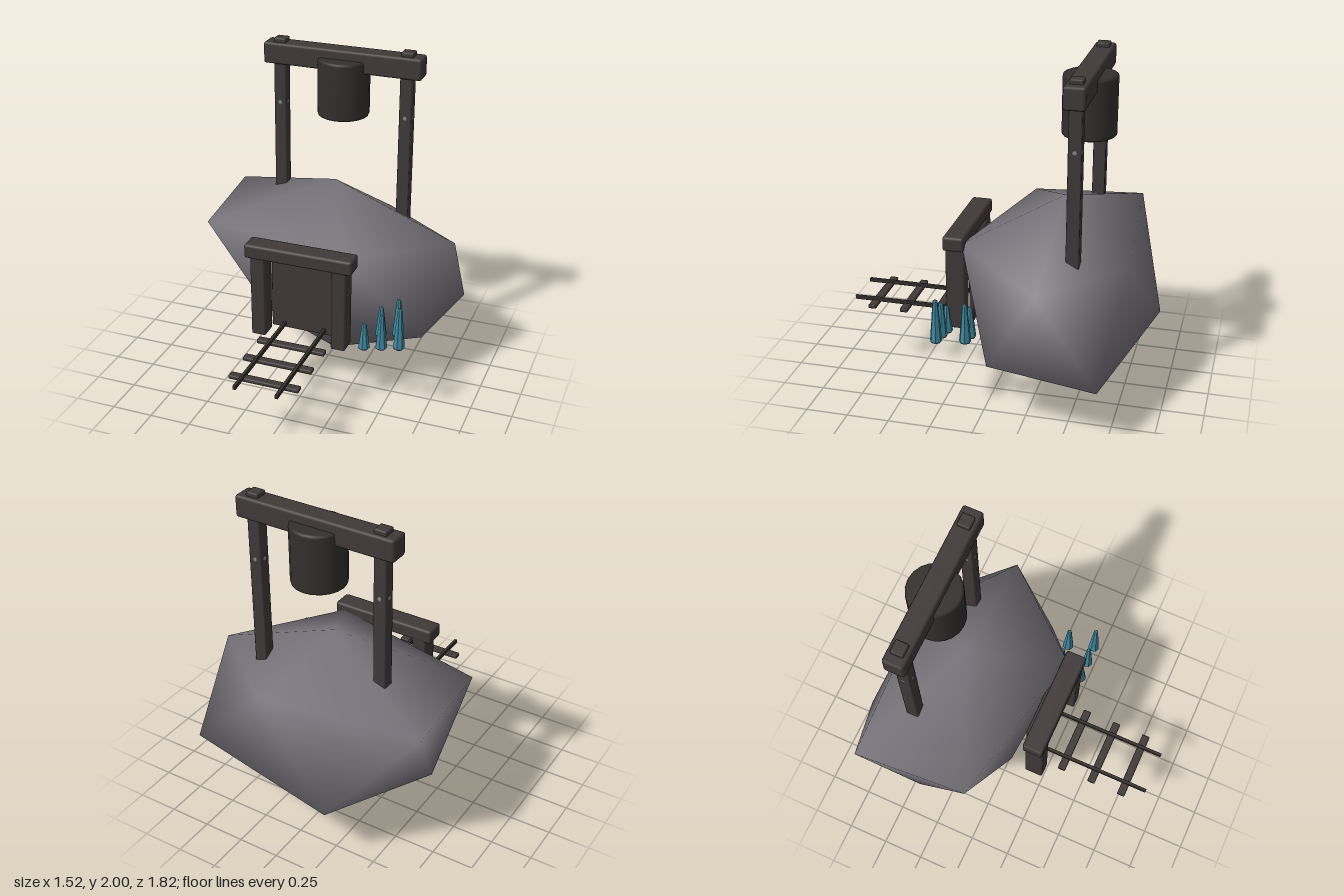
import * as THREE from 'three';
import { RoundedBoxGeometry } from 'three/addons/geometries/RoundedBoxGeometry.js';

const material = (name, color, extra = {}) => {
  const m = new THREE.MeshStandardMaterial({ color, ...extra });
  m.name = name;
  return m;
};

// Angular boulder: bottom point, two staggered rings of five corners, top point
function boulderGeometry() {
  const points = [
    [0, 0, -0.36],
    [0.66, 0.385, -0.06], [-0.28, 0.46, 0.07], [-0.66, 0.45, -0.38], [-0.28, 0.37, -0.91], [0.76, 0.36, -0.7],
    [0.28, 0.94, 0.185], [-0.71, 0.93, -0.03], [-0.76, 0.945, -0.71], [0.23, 0.87, -0.775], [0.76, 0.89, -0.36],
    [0, 1.19, -0.36],
  ];
  const index = [];
  for (let i = 0; i < 5; i++) {
    const j = (i + 1) % 5;
    index.push(0, 1 + i, 1 + j);
    index.push(1 + j, 1 + i, 6 + i);
    index.push(1 + j, 6 + i, 6 + j);
    index.push(6 + j, 6 + i, 11);
  }
  const geometry = new THREE.BufferGeometry();
  geometry.setAttribute('position', new THREE.Float32BufferAttribute(points.flat(), 3));
  geometry.setIndex(index);
  geometry.computeVertexNormals();
  return geometry;
}

export function createModel() {
  const model = new THREE.Group();
  model.name = 'mineEntrance';

  const stone = material('stone', 0x77747b);
  const timber = material('timber', 0x3f3938);
  const iron = material('darkIron', 0x332f2d);
  const rivetGrey = material('rivetGrey', 0x85858a);
  const crystal = material('crystal', 0x3d879e, { flatShading: true });

  const add = (name, geometry, mat, x = 0, y = 0, z = 0) => {
    const mesh = new THREE.Mesh(geometry, mat);
    mesh.name = name;
    mesh.position.set(x, y, z);
    model.add(mesh);
    return mesh;
  };
  // Bevelled box given by its extents on each axis
  const box = (name, mat, [x0, x1], [y0, y1], [z0, z1], bevel = 0.012) =>
    add(name, new RoundedBoxGeometry(x1 - x0, y1 - y0, z1 - z0, 1, bevel), mat,
      (x0 + x1) / 2, (y0 + y1) / 2, (z0 + z1) / 2);

  add('boulder', boulderGeometry(), stone);

  // Hoist gantry standing on the boulder
  box('hoistBeam', timber, [-0.49, 0.49], [1.845, 1.975], [-0.55, -0.426], 0.015);
  for (const side of [-1, 1]) {
    const x = side * 0.395;
    box('hoistPost', timber, [x - 0.038, x + 0.038], [0.86, 2], [-0.526, -0.45], 0.008);
    add('postRivet', new THREE.IcosahedronGeometry(0.042, 1), rivetGrey, x, 1.6, -0.488);
  }

  // Hanging drum with softened rims
  const drumProfile = [[0, -0.177], [0.142, -0.177], [0.153, -0.172], [0.157, -0.16],
    [0.157, 0.16], [0.153, 0.172], [0.142, 0.177], [0, 0.177]].map(([r, y]) => new THREE.Vector2(r, y));
  add('hoistDrum', new THREE.LatheGeometry(drumProfile, 20), iron, 0, 1.743, -0.488);

  // Doorway
  for (const side of [-1, 1]) {
    const x = side * 0.25;
    box('doorPost', timber, [x - 0.045, x + 0.045], [0.4, 0.95], [0.165, 0.282]);
  }
  box('doorLintel', timber, [-0.33, 0.33], [0.905, 0.992], [0.162, 0.288], 0.015);
  box('doorPanel', timber, [-0.208, 0.208], [0.415, 0.88], [0.135, 0.165], 0.006);

  // Track running out of the doorway
  for (const x of [-0.125, 0.125]) box('rail', iron, [x - 0.01, x + 0.01], [0.432, 0.456], [0.12, 0.91], 0.003);
  for (const z of [0.377, 0.577, 0.777]) box('sleeper', timber, [-0.21, 0.21], [0.417, 0.441], [z - 0.024, z + 0.024], 0.006);

  // Crystal cluster, growing taller toward the left side
  for (let i = 0; i < 5; i++) {
    const base = 0.43 + 0.011 * i;
    const top = 0.595 + 0.035 * i;
    const profile = [[0, 0], [0.028, 0], [0.035, 0.008], [0.014, top - base - 0.006], [0.009, top - base], [0, top - base]]
      .map(([r, y]) => new THREE.Vector2(r, y));
    add('crystal', new THREE.LatheGeometry(profile, 7), crystal, 0.4 + 0.0525 * i, base, i % 2 ? 0.09 : 0.245);
  }

  return model;
}
